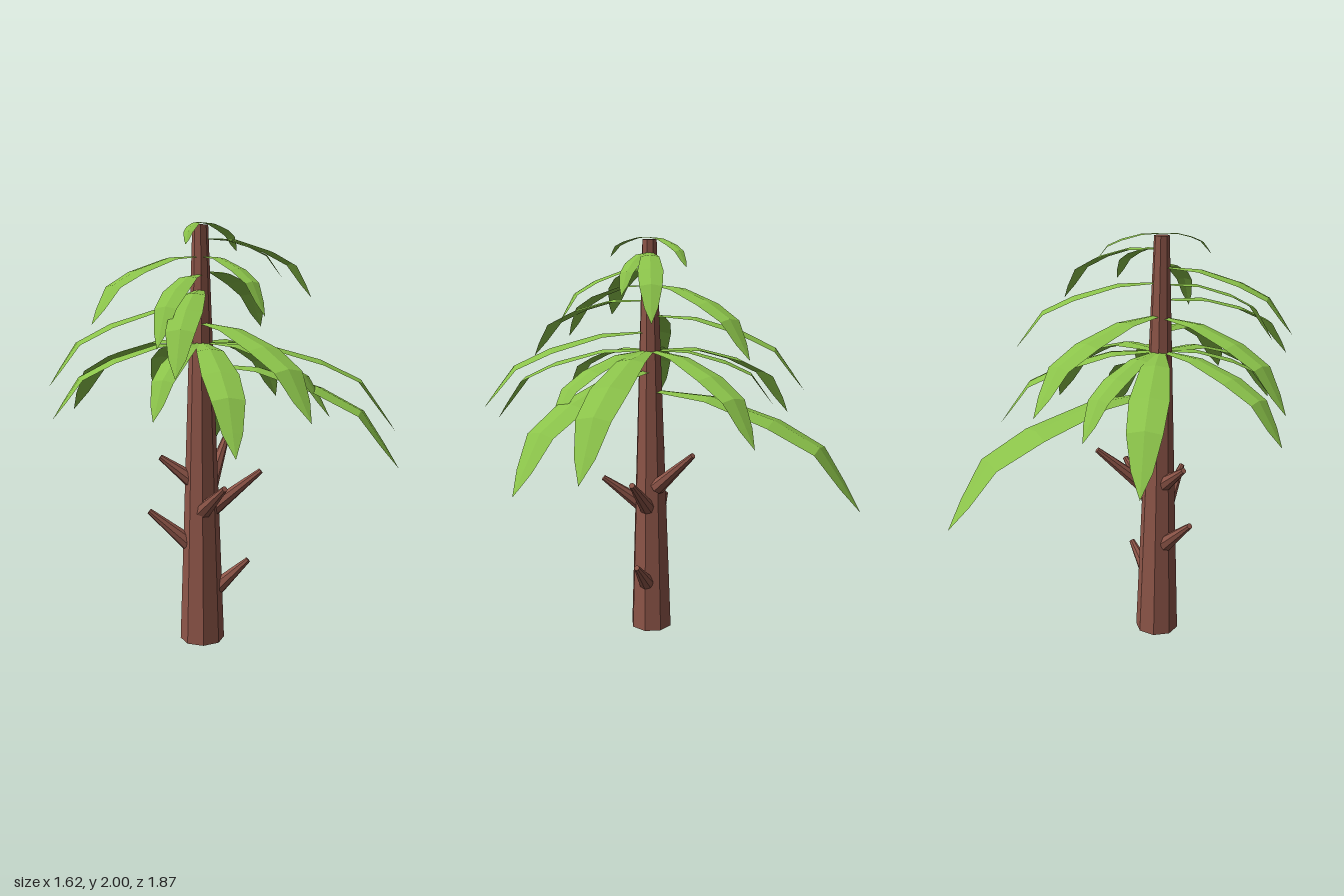
import * as THREE from 'three';

const bark = new THREE.MeshStandardMaterial({ color: 0x8d5548, flatShading: true });
const green = new THREE.MeshStandardMaterial({ color: 0x8bc34a, flatShading: true, side: THREE.DoubleSide });
const CX = -0.125, CZ = 0.13; // trunk axis

// Frond stations: distance along reach, share of the droop, share of the half width
const STATIONS = [
  [0, 0, 0.25], [0.3, 0.02, 0.75], [0.6, 0.2, 1], [0.81, 0.42, 0.88], [0.92, 0.75, 0.52], [1, 1, 0],
];

// Drooping frond with a raised midrib, running along +z from the origin
function frondGeometry(reach, drop) {
  const half = reach * 0.1, pos = [], index = [];
  STATIONS.forEach(([t, d, w], i) => {
    for (const s of [-1, 0, 1]) {
      const ridge = s === 0 ? 0 : -0.18 * half * w;
      pos.push(s * half * w, -drop * d + ridge, reach * t);
    }
    if (i === 0) return;
    for (let k = 0; k < 2; k++) {
      const a = (i - 1) * 3 + k, b = i * 3 + k;
      index.push(a, b, a + 1);
      if (i < STATIONS.length - 1) index.push(a + 1, b, b + 1);
      else if (k === 1) index.push(a + 1, b, b + 1);
    }
  });
  const g = new THREE.BufferGeometry();
  g.setAttribute('position', new THREE.Float32BufferAttribute(pos, 3));
  g.setIndex(index);
  const flat = g.toNonIndexed();
  flat.computeVertexNormals();
  return flat;
}

// Tapered stub between two points
function branch(from, to) {
  const a = new THREE.Vector3(...from), b = new THREE.Vector3(...to);
  const dir = b.clone().sub(a);
  const mesh = new THREE.Mesh(new THREE.CylinderGeometry(0.014, 0.04, dir.length(), 8), bark);
  mesh.position.copy(a).add(b).multiplyScalar(0.5);
  mesh.quaternion.setFromUnitVectors(new THREE.Vector3(0, 1, 0), dir.normalize());
  return mesh;
}

export function createModel() {
  const tree = new THREE.Group();
  tree.name = 'tree';

  // Trunk
  const trunk = new THREE.Mesh(new THREE.CylinderGeometry(0.036, 0.107, 1.99, 8), bark);
  trunk.name = 'trunk';
  trunk.position.set(CX, 0.995, CZ);
  tree.add(trunk);

  // Dead branch stubs: base, tip
  const branches = new THREE.Group();
  branches.name = 'branches';
  [
    [[-0.19, 0.49, CZ], [-0.375, 0.65, CZ]],
    [[-0.05, 0.26, CZ], [0.1, 0.395, CZ]],
    [[-0.07, 0.66, CZ], [0.16, 0.84, CZ]],
    [[-0.17, 0.8, CZ], [-0.32, 0.915, CZ]],
    [[-0.12, 0.66, 0.18], [-0.03, 0.81, 0.35]],
    [[-0.08, 0.77, 0.08], [0.02, 0.975, -0.135]],
  ].forEach(([a, b], i) => {
    const m = branch(a, b);
    m.name = `branch${i + 1}`;
    branches.add(m);
  });
  tree.add(branches);

  // Fronds: start height, then tip x, y, z
  const fronds = new THREE.Group();
  fronds.name = 'fronds';
  [
    // crown
    [2.0, 0.06, 1.87, -0.11], [2.0, -0.2, 1.9, 0.36],
    [1.93, 0.42, 1.65, -0.06], [1.93, 0.25, 1.75, 0.14],
    // upper tier
    [1.85, -0.6, 1.57, 0.51], [1.85, 0.13, 1.6, 0.5],
    [1.78, 0.22, 1.48, -0.45], [1.77, -0.33, 1.48, 0.65],
    // middle tier
    [1.7, -0.26, 1.38, 0.82], [1.63, -0.23, 1.28, -0.62],
    [1.62, -0.81, 1.28, 0.29], [1.55, 0.28, 1.2, 0.84],
    // lower tier
    [1.46, 0.81, 1.02, 0.13], [1.46, -0.03, 1.08, 0.93],
    [1.46, -0.77, 1.05, -0.45], [1.46, 0.31, 1.1, -0.5],
    [1.46, -0.35, 1.17, -0.45], [1.46, -0.35, 1.18, 0.66],
    [1.46, -0.8, 1.13, 0.29], [1.46, 0.43, 1.15, 0.43],
    [1.36, 0.74, 0.92, 0.47], [1.26, 0.0, 0.76, -0.94],
  ].forEach(([y0, x, y, z], i) => {
    const dx = x - CX, dz = z - CZ;
    const m = new THREE.Mesh(frondGeometry(Math.hypot(dx, dz), y0 - y), green);
    m.name = `frond${i + 1}`;
    m.position.set(CX, y0, CZ);
    m.rotation.y = Math.atan2(dx, dz);
    fronds.add(m);
  });
  tree.add(fronds);
  return tree;
}
